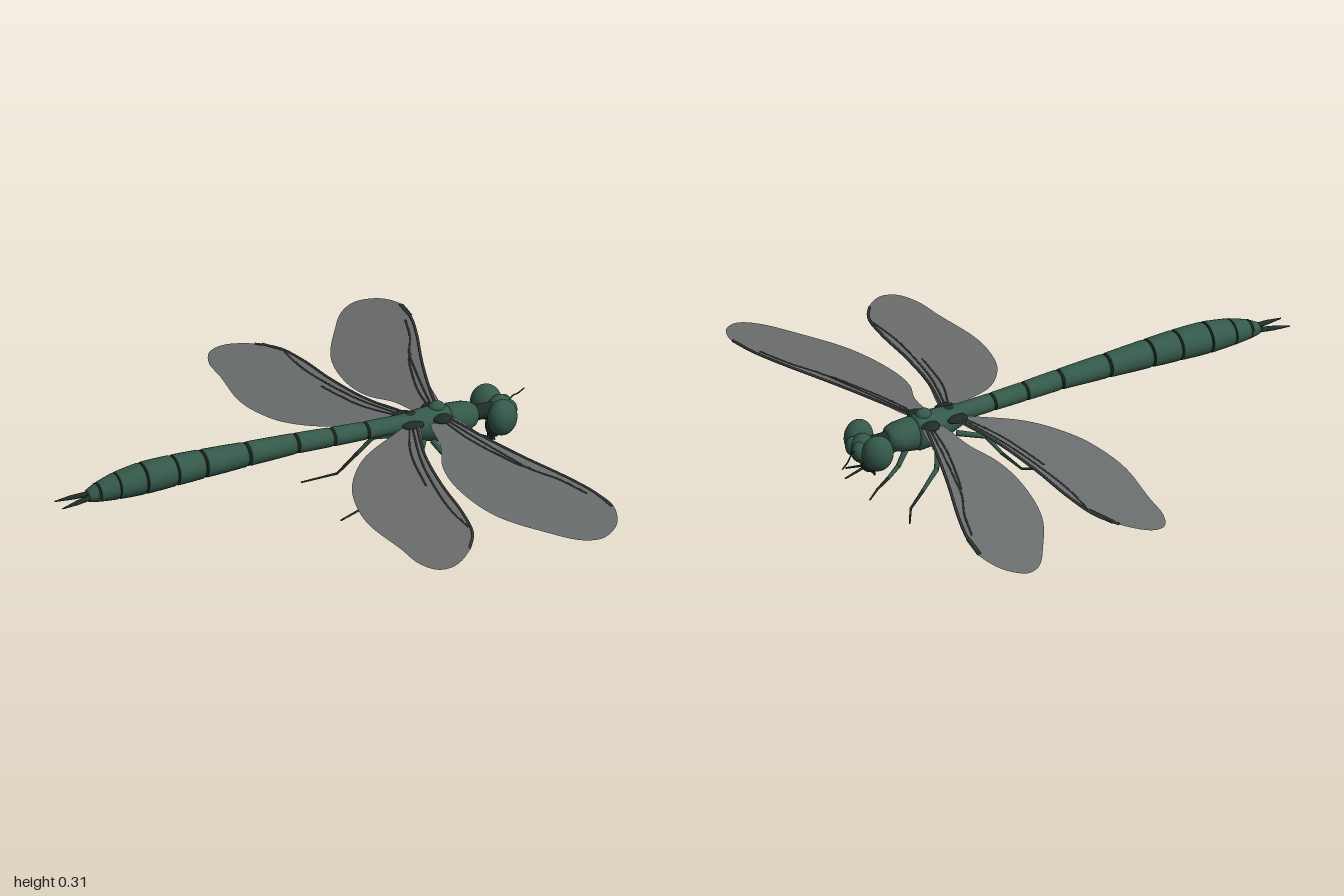
import * as THREE from 'three';

const green = new THREE.MeshStandardMaterial({ color: 0x34594a });
green.name = 'bodyGreen';
const dark = new THREE.MeshStandardMaterial({ color: 0x1f2d27 });
dark.name = 'darkGreen';
const smoke = new THREE.MeshStandardMaterial({ color: 0x6c6f6f, side: THREE.DoubleSide });
smoke.name = 'smokyWing';
const veinMat = new THREE.MeshStandardMaterial({ color: 0x363b39, side: THREE.DoubleSide });
veinMat.name = 'wingVein';

const V = (x, y, z) => new THREE.Vector3(x, y, z);

function add(parent, name, geometry, material) {
  const mesh = new THREE.Mesh(geometry, material);
  mesh.name = name;
  parent.add(mesh);
  return mesh;
}

// Closed body lofted through elliptical sections [x, centreY, radiusY, radiusZ, centreZ]
function loft(sections, sides = 24) {
  const pos = [], index = [];
  const first = sections[0], last = sections[sections.length - 1];
  const cap = (s) => [s[0], s[1], 0.0001, 0.0001, s[4]];
  const rings = [cap(first), ...sections, cap(last)];
  rings.forEach(([x, y, ry, rz, z = 0], i) => {
    for (let j = 0; j < sides; j++) {
      const t = (j / sides) * Math.PI * 2;
      pos.push(x, y + ry * Math.cos(t), z + rz * Math.sin(t));
      if (i === rings.length - 1) continue;
      const a = i * sides + j, b = i * sides + (j + 1) % sides;
      index.push(a, b, a + sides, b, b + sides, a + sides);
    }
  });
  const g = new THREE.BufferGeometry();
  g.setAttribute('position', new THREE.Float32BufferAttribute(pos, 3));
  g.setIndex(index);
  g.computeVertexNormals();
  return g;
}

function ellipsoid(parent, name, c, r, material = green) {
  const m = add(parent, name, new THREE.SphereGeometry(1, 28, 20), material);
  m.position.set(...c);
  m.scale.set(...r);
  return m;
}

function tube(points, radius, segments = 24) {
  return new THREE.TubeGeometry(new THREE.CatmullRomCurve3(points), segments, radius, 6);
}

// Tapered limb segment between two points
function limb(parent, name, a, b, r0, r1, material = green) {
  const dir = b.clone().sub(a);
  const m = add(parent, name, new THREE.CylinderGeometry(r1, r0, dir.length(), 8), material);
  m.position.copy(a).add(b).multiplyScalar(0.5);
  m.quaternion.setFromUnitVectors(V(0, 1, 0), dir.normalize());
}

// Wing outlines as [x, distance from the body]; each lies on a tilted plane
const wings = [
  {
    name: 'foreWing', height: (x, z) => 0.265 - 0.094 * z + 0.17 * (x - 0.55),
    outline: [[0.50, 0.03], [0.46, 0.19], [0.415, 0.30], [0.403, 0.44], [0.445, 0.66], [0.55, 0.85], [0.635, 0.965],
      [0.70, 0.995], [0.77, 0.955], [0.81, 0.85], [0.795, 0.74], [0.755, 0.61], [0.675, 0.40], [0.61, 0.21], [0.56, 0.04]],
    veins: [[[0.55, 0.03], [0.605, 0.21], [0.67, 0.40], [0.75, 0.61], [0.79, 0.74], [0.805, 0.85]],
      [[0.54, 0.04], [0.58, 0.2], [0.63, 0.38], [0.66, 0.48], [0.72, 0.6], [0.765, 0.73]],
      [[0.53, 0.04], [0.56, 0.2], [0.61, 0.36], [0.645, 0.45], [0.665, 0.48]]],
    spot: [[0.782, 0.74], [0.797, 0.74], [0.81, 0.84], [0.795, 0.85]],
  },
  {
    name: 'hindWing', height: (x, z) => 0.262 - 0.05 * z + 0.14 * (x - 0.43),
    outline: [[0.42, 0.03], [0.34, 0.06], [0.19, 0.135], [0.08, 0.27], [0.035, 0.41], [0.025, 0.53], [0.05, 0.72],
      [0.065, 0.85], [0.105, 0.92], [0.16, 0.93], [0.24, 0.875], [0.305, 0.78], [0.33, 0.64], [0.345, 0.45], [0.38, 0.24], [0.44, 0.04]],
    veins: [[[0.44, 0.03], [0.375, 0.24], [0.342, 0.45], [0.327, 0.64], [0.3, 0.78], [0.25, 0.86]],
      [[0.42, 0.04], [0.35, 0.26], [0.315, 0.45], [0.3, 0.6], [0.305, 0.74]],
      [[0.41, 0.04], [0.34, 0.2], [0.305, 0.36], [0.295, 0.42]]],
    spot: [[0.3, 0.74], [0.312, 0.75], [0.27, 0.845], [0.255, 0.84]],
  },
];

// Flat membrane placed on the wing plane
function membrane(shape, side, height, lift) {
  const g = new THREE.ShapeGeometry(shape);
  const p = g.attributes.position;
  for (let i = 0; i < p.count; i++) {
    const x = p.getX(i), z = p.getY(i);
    p.setXYZ(i, x, height(x, z) + lift, z * side);
  }
  g.computeVertexNormals();
  return g;
}

function buildWing(root, w, side) {
  const wing = new THREE.Group();
  wing.name = (side > 0 ? 'right' : 'left') + w.name[0].toUpperCase() + w.name.slice(1);
  const edge = new THREE.CatmullRomCurve3(w.outline.map(([x, z]) => V(x, z, 0)), true);
  const shape = new THREE.Shape(edge.getPoints(100).slice(0, -1).map((p) => new THREE.Vector2(p.x, p.y)));
  add(wing, 'membrane', membrane(shape, side, w.height, 0), smoke);
  w.veins.forEach((pts, i) => {
    const path = pts.map(([x, z]) => V(x, w.height(x, z), z * side));
    add(wing, 'vein', tube(path, i === 0 ? 0.005 : 0.0035), veinMat);
  });
  const spot = new THREE.Shape(w.spot.map(([x, z]) => new THREE.Vector2(x, z)));
  for (const lift of [0.004, -0.004]) add(wing, 'tipSpot', membrane(spot, side, w.height, lift), dark);
  root.add(wing);
}

// Leg joints on one side: hip, knee, ankle, foot
const legs = [
  { name: 'hindLeg', r: 0.011, pts: [[0.42, 0.19, 0.03], [0.33, 0.175, 0.08], [0.285, 0.11, 0.11], [0.215, 0.035, 0.13], [0.09, 0.014, 0.16]] },
  { name: 'midLeg', r: 0.011, pts: [[0.47, 0.18, 0.03], [0.425, 0.165, 0.1], [0.405, 0.11, 0.12], [0.392, 0.045, 0.16], [0.385, 0.004, 0.19]] },
  { name: 'frontLeg', r: 0.011, pts: [[0.50, 0.18, 0.04], [0.54, 0.115, 0.1], [0.62, 0.07, 0.14], [0.685, 0.035, 0.17], [0.718, 0.01, 0.22]] },
  { name: 'foldedLeg', r: 0.011, pts: [[0.62, 0.19, 0.03], [0.665, 0.14, 0.05], [0.71, 0.11, 0.06], [0.76, 0.085, 0.07], [0.80, 0.06, 0.085]] },
];

export function createModel() {
  const root = new THREE.Group();
  root.name = 'dragonfly';

  // Abdomen: [x, centreY, radiusY, radiusZ] at each segment boundary
  const joints = [[-0.81, 0.235, 0.02, 0.024], [-0.77, 0.242, 0.034, 0.036], [-0.70, 0.251, 0.047, 0.05], [-0.60, 0.258, 0.056, 0.059],
    [-0.48, 0.262, 0.054, 0.058], [-0.37, 0.263, 0.05, 0.053], [-0.20, 0.263, 0.043, 0.044], [-0.01, 0.263, 0.036, 0.037],
    [0.13, 0.257, 0.033, 0.036], [0.26, 0.253, 0.031, 0.034], [0.40, 0.25, 0.031, 0.032]];
  const abdomen = new THREE.Group();
  abdomen.name = 'abdomen';
  root.add(abdomen);
  for (let i = 0; i < joints.length - 1; i++) {
    const a = joints[i], b = joints[i + 1];
    const at = (t, k) => [0, 1, 2, 3].map((n) => (a[n] + (b[n] - a[n]) * t) * (n > 1 ? k : 1));
    add(abdomen, 'segment', loft([at(0.02, 0.95), at(0.08, 1.01), at(0.5, 1.02), at(0.94, 1.01), at(0.99, 0.95)]), green);
    add(abdomen, 'jointBand', loft([[b[0] - 0.006, b[1], b[2] * 0.97, b[3] * 0.97], [b[0] + 0.006, b[1], b[2] * 0.97, b[3] * 0.97]]), dark);
  }

  // Thorax: rear block, front collar, back hump
  add(root, 'thorax', loft([[0.35, 0.247, 0.03, 0.028], [0.40, 0.24, 0.042, 0.04], [0.46, 0.23, 0.056, 0.052], [0.52, 0.223, 0.066, 0.06],
    [0.565, 0.22, 0.066, 0.062], [0.58, 0.22, 0.06, 0.054]]), green);
  add(root, 'frontThorax', loft([[0.565, 0.222, 0.056, 0.05], [0.585, 0.222, 0.062, 0.059], [0.64, 0.225, 0.054, 0.057],
    [0.67, 0.228, 0.042, 0.047], [0.685, 0.228, 0.03, 0.03]]), green);
  add(root, 'neck', loft([[0.66, 0.228, 0.028, 0.026], [0.76, 0.228, 0.028, 0.026]]), dark);
  ellipsoid(root, 'backHump', [0.535, 0.283, 0], [0.03, 0.023, 0.026]);
  ellipsoid(root, 'rearHump', [0.44, 0.272, 0], [0.04, 0.014, 0.022], dark);

  // Head
  ellipsoid(root, 'face', [0.78, 0.22, 0], [0.045, 0.055, 0.045]);
  ellipsoid(root, 'jaw', [0.755, 0.165, 0], [0.03, 0.045, 0.032], dark);
  add(root, 'antenna', tube([V(0.82, 0.235, -0.02), V(0.85, 0.238, -0.045), V(0.88, 0.228, -0.07), V(0.92, 0.225, -0.1)], 0.0025), dark);

  for (const side of [1, -1]) {
    const eye = ellipsoid(root, 'eye', [0.757, 0.225, side * 0.066], [0.056, 0.066, 0.048]);
    eye.rotation.y = side * 0.3;
    ellipsoid(root, 'brow', [0.805, 0.225, side * 0.022], [0.028, 0.036, 0.026]);
    limb(root, 'mandible', V(0.76, 0.16, side * 0.025), V(0.735, 0.105, side * 0.008), 0.012, 0.004, dark);

    // Tail prongs
    add(root, 'tailProng', loft([[-0.92, 0.224, 0.002, 0.002, side * 0.031], [-0.86, 0.23, 0.008, 0.009, side * 0.023],
      [-0.79, 0.236, 0.01, 0.012, side * 0.012]], 10), dark);

    // Wing roots and wings
    ellipsoid(root, 'wingRoot', [0.535, 0.26, side * 0.045], [0.035, 0.014, 0.035], dark);
    ellipsoid(root, 'wingRoot', [0.425, 0.256, side * 0.042], [0.04, 0.012, 0.03], dark);
    wings.forEach((w) => buildWing(root, w, side));

    // Legs
    for (const { name, r, pts } of legs) {
      const leg = new THREE.Group();
      leg.name = name;
      root.add(leg);
      const p = pts.map(([x, y, z]) => V(x, y, z * side));
      for (let i = 0; i < 4; i++) {
        const r0 = r * (1 - i * 0.2), r1 = r * (0.8 - i * 0.2);
        limb(leg, 'legSegment', p[i], p[i + 1], r0, Math.max(r1, 0.003), i < 2 ? green : dark);
        if (i) ellipsoid(leg, 'legJoint', p[i].toArray(), [r0, r0, r0], dark);
      }
    }
  }
  return root;
}
